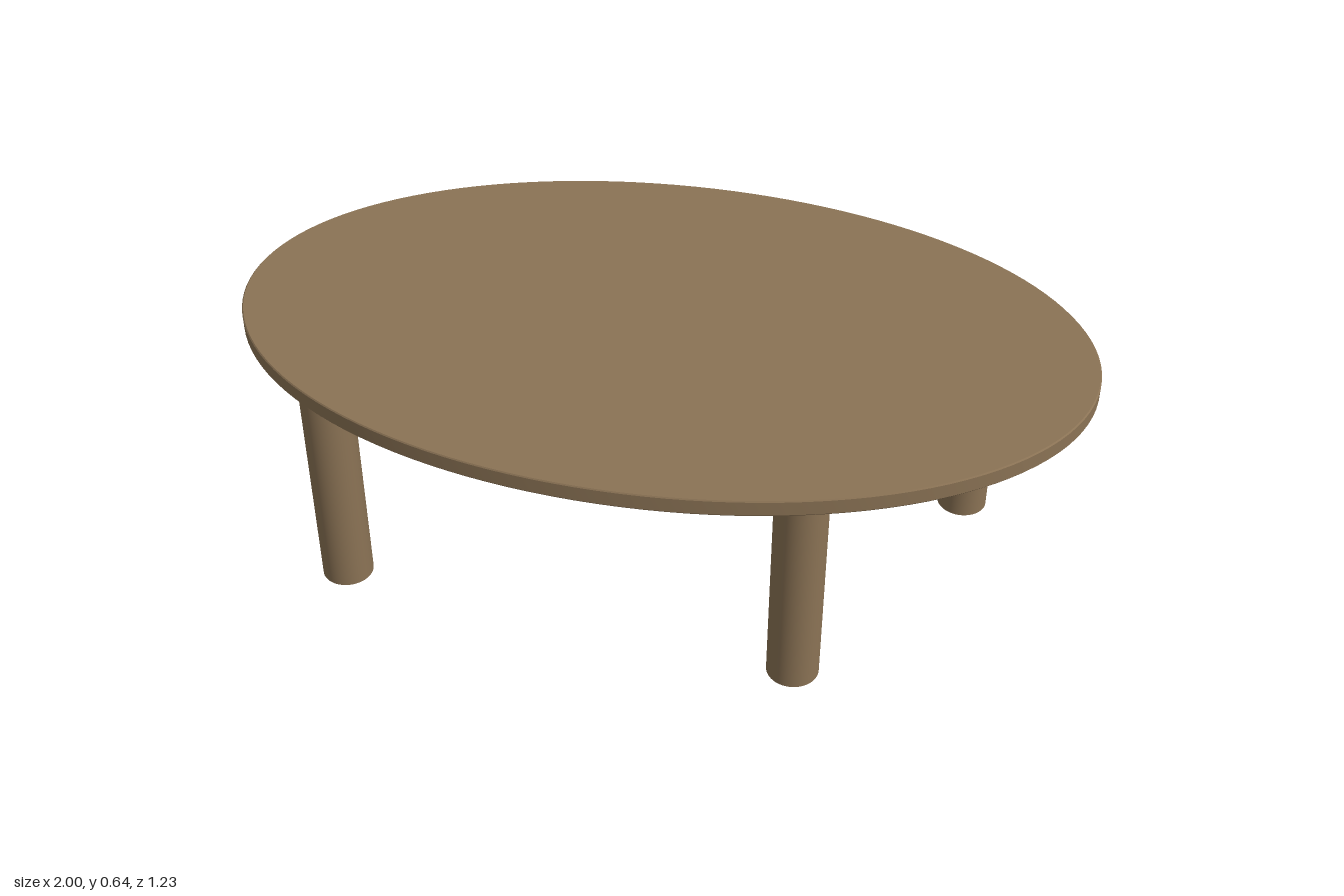
import * as THREE from 'three';
import { toCreasedNormals } from 'three/addons/utils/BufferGeometryUtils.js';

export function createModel() {
  const group = new THREE.Group();
  group.name = 'ovalTable';
  const wood = new THREE.MeshStandardMaterial({ name: 'brown wood', color: 0x8b7355 });

  // Oval top: a round disc with finely eased edges, squashed along z
  const bottom = 0.6, top = 0.64, ease = 0.003;
  const profile = [
    [0, bottom], [1 - ease, bottom], [1, bottom + ease],
    [1, top - ease], [1 - ease, top], [0, top],
  ].map(([r, y]) => new THREE.Vector2(r, y));
  const topGeometry = new THREE.LatheGeometry(profile, 128);
  topGeometry.scale(1, 1, 0.616);
  const tableTop = new THREE.Mesh(toCreasedNormals(topGeometry, 0.5), wood);
  tableTop.name = 'tableTop';
  group.add(tableTop);

  // Four round legs, placed asymmetrically
  const legGeometry = new THREE.CylinderGeometry(0.061, 0.061, bottom, 48);
  const legs = {
    frontLeftLeg: [0.4, 0.398],
    frontRightLeg: [-0.72, 0.298],
    backLeftLeg: [0.72, -0.295],
    backRightLeg: [-0.76, -0.295],
  };
  for (const [name, [x, z]] of Object.entries(legs)) {
    const leg = new THREE.Mesh(legGeometry, wood);
    leg.name = name;
    leg.position.set(x, bottom / 2, z);
    group.add(leg);
  }
  return group;
}
